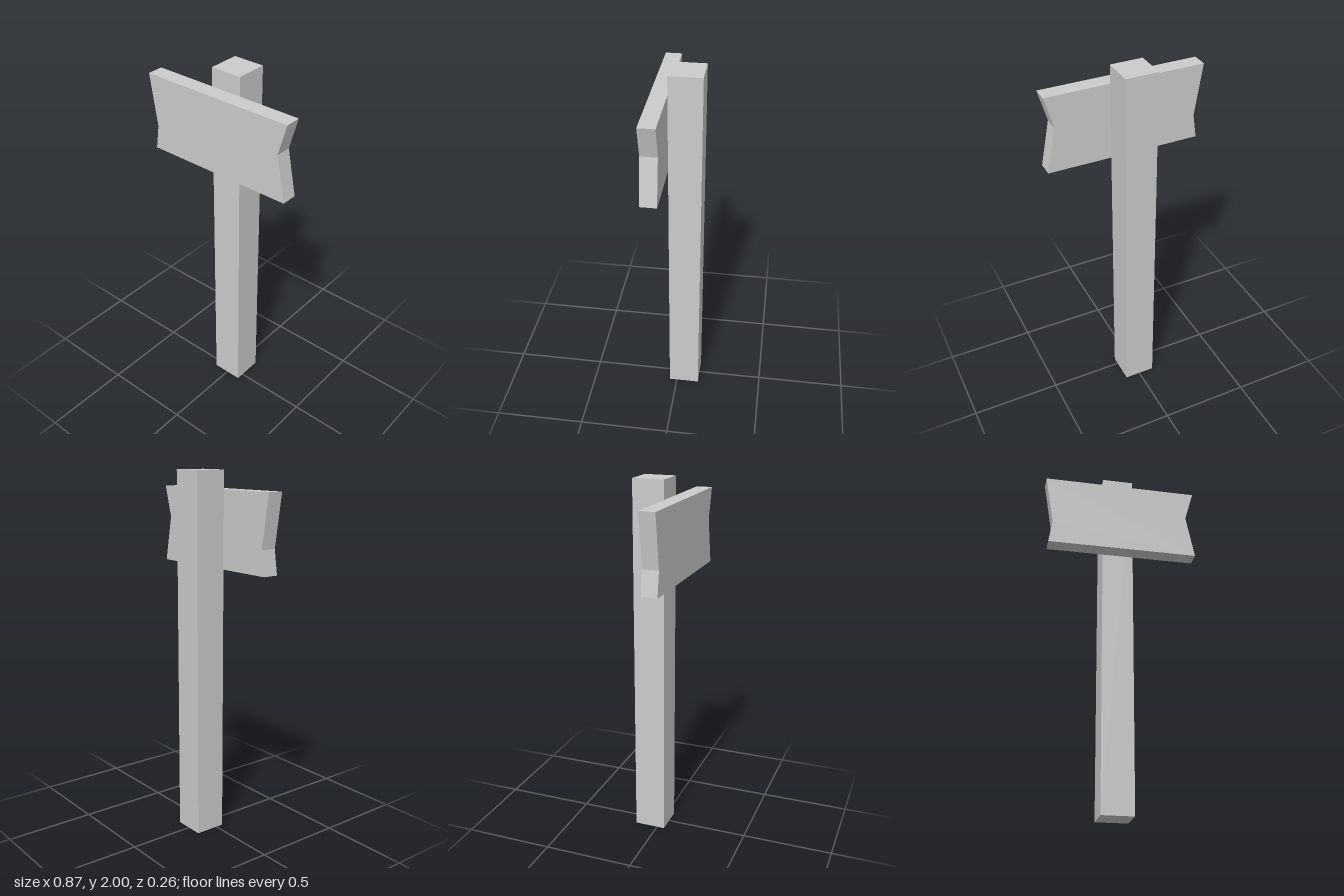
import * as THREE from 'three';

export function createModel() {
  const model = new THREE.Group();
  const material = new THREE.MeshStandardMaterial({ color: 0xcccccc, flatShading: true });
  const backZ = -0.13, joinZ = 0.043, frontZ = 0.13;

  // Square upright post
  const post = new THREE.Mesh(new THREE.BoxGeometry(0.175, 2, joinZ - backZ), material);
  post.name = 'post';
  post.position.set(-0.001, 1, (backZ + joinZ) / 2);
  model.add(post);

  // Sign board with a notch cut into each end, fixed to the front of the post
  const outline = new THREE.Shape([
    [-0.41, 1.482], [0.433, 1.482], [0.385, 1.73],
    [0.433, 1.9], [-0.434, 1.9], [-0.39, 1.615],
  ].map(([x, y]) => new THREE.Vector2(x, y)));
  const board = new THREE.Mesh(
    new THREE.ExtrudeGeometry(outline, { depth: frontZ - joinZ, bevelEnabled: false }), material);
  board.name = 'signBoard';
  board.position.z = joinZ;
  model.add(board);

  return model;
}
